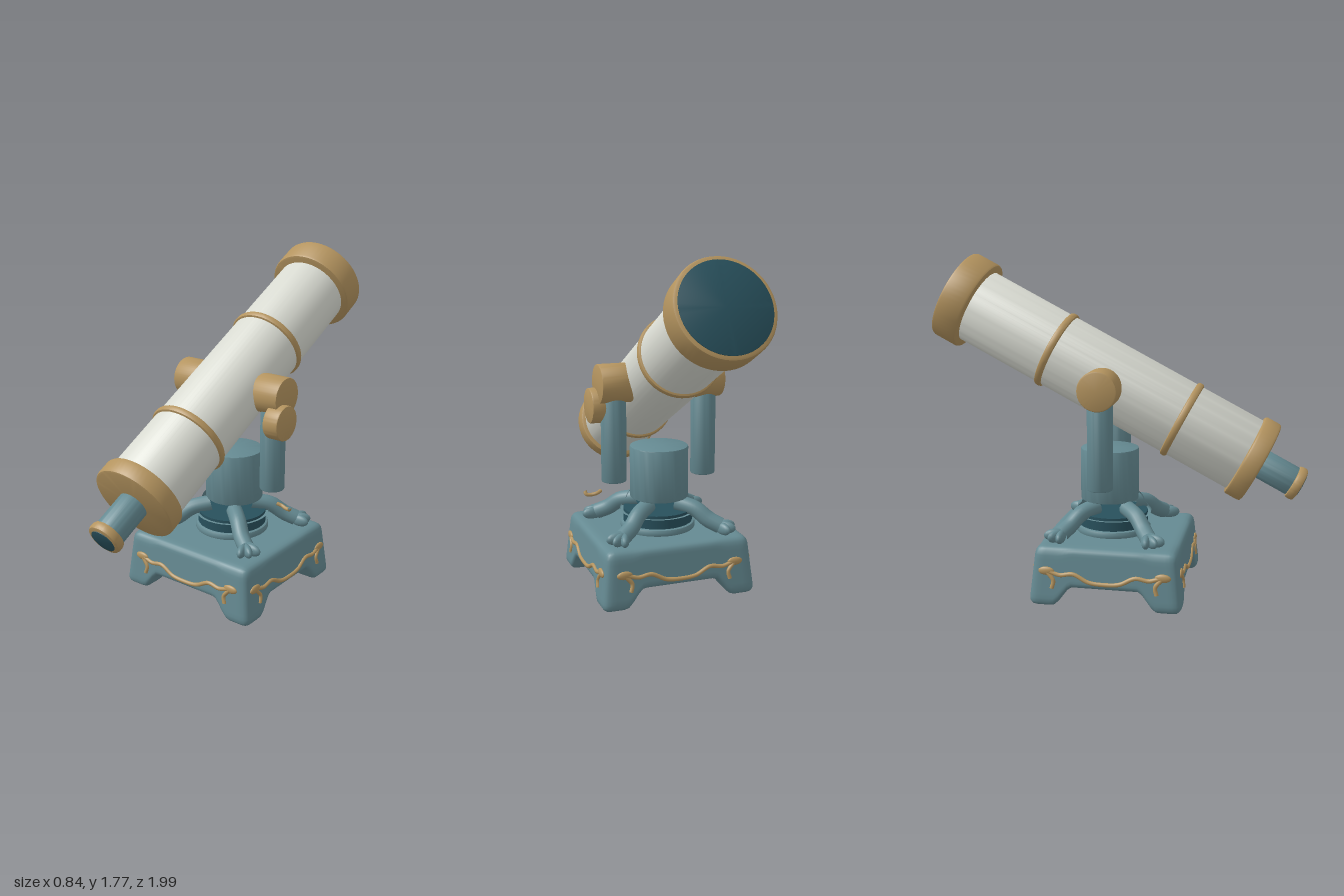
import * as THREE from 'three';
import { mergeVertices, toCreasedNormals } from 'three/addons/utils/BufferGeometryUtils.js';

const material = (name, color) => {
  const m = new THREE.MeshStandardMaterial({ color });
  m.name = name;
  return m;
};

export function createModel() {
  const teal = material('teal', 0x658a92);
  const dark = material('dark teal', 0x28505c);
  const brass = material('brass', 0xb4945f);
  const ivory = material('ivory', 0xd9dbd2);
  const model = new THREE.Group();
  model.name = 'telescope';

  const add = (parent, name, geometry, mat, x = 0, y = 0, z = 0) => {
    const mesh = new THREE.Mesh(geometry, mat);
    mesh.name = name;
    mesh.position.set(x, y, z);
    parent.add(mesh);
    return mesh;
  };
  // Capped round solid along y from a to b, with bevelled rims
  const solid = (r, a, b, bevel = 0.008, sides = 56) => toCreasedNormals(new THREE.LatheGeometry([
    [0, a], [r - bevel, a], [r - bevel * 0.3, a + bevel * 0.3], [r, a + bevel],
    [r, b - bevel], [r - bevel * 0.3, b - bevel * 0.3], [r - bevel, b], [0, b],
  ].map(p => new THREE.Vector2(...p)), sides), 0.6);
  const curve = pts => new THREE.CatmullRomCurve3(pts.map(p => new THREE.Vector3(...p)));

  // Tilted optical tube: local y runs from the eyepiece to the lens
  const tube = new THREE.Group();
  tube.name = 'opticalTube';
  tube.position.set(0, 0.597, 0.955);
  tube.rotation.x = -1.089;
  model.add(tube);
  add(tube, 'barrel', solid(0.2, 0.3, 2.0), ivory);
  add(tube, 'eyepieceTube', solid(0.078, 0.02, 0.26), teal);
  add(tube, 'eyepieceRim', solid(0.09, 0, 0.05, 0.015), brass);
  add(tube, 'eyepieceGlass', solid(0.066, -0.003, 0.01, 0.001), dark);
  add(tube, 'rearCollar', solid(0.225, 0.235, 0.33, 0.014), brass);
  add(tube, 'frontCollar', solid(0.243, 1.935, 2.08, 0.014), brass);
  add(tube, 'lens', solid(0.221, 2.07, 2.083, 0.001), dark);
  for (const s of [0.7, 1.456]) add(tube, 'barrelBand', solid(0.213, s - 0.019, s + 0.019, 0.012), brass);

  // Side pivots, posts and the focus knob
  for (const side of [-1, 1]) {
    const pivot = add(model, 'pivot', solid(0.102, -0.09, 0.09), brass, side * 0.245, 1.105, -0.05);
    pivot.rotation.z = Math.PI / 2;
    add(model, 'sidePost', solid(0.066, 0.585, 1.09, 0.008, 40), teal, side * 0.25, 0, -0.05);
  }
  const knob = add(model, 'knob', solid(0.092, -0.045, 0.045), brass, 0.325, 0.985, 0);
  knob.rotation.z = Math.PI / 2;

  // Pedestal and its flared body
  add(model, 'pedestal', solid(0.155, 0.48, 0.76), teal, 0, 0, -0.05);
  add(model, 'pedestalBody', new THREE.LatheGeometry([
    [0, 0.505], [0.15, 0.5], [0.165, 0.48], [0.175, 0.45], [0.205, 0.415], [0.2, 0.4], [0, 0.4],
  ].map(p => new THREE.Vector2(...p)), 32), teal, 0, 0, -0.03);
  add(model, 'darkRecess', new THREE.CylinderGeometry(0.185, 0.185, 0.08, 32), dark, 0, 0.375, -0.03);
  add(model, 'pedestalFoot', solid(0.2, 0.3, 0.345, 0.015), teal, 0, 0, -0.03);

  // Four claw legs reaching towards the corners
  for (const sx of [-1, 1]) for (const sz of [-1, 1]) {
    const leg = new THREE.Group();
    leg.name = 'clawLeg';
    leg.position.z = -0.025;
    model.add(leg);
    const path = curve([[0.08 * sx, 0.45, 0.08 * sz], [0.16 * sx, 0.425, 0.15 * sz],
      [0.215 * sx, 0.375, 0.195 * sz], [0.27 * sx, 0.345, 0.23 * sz]]);
    add(leg, 'limb', new THREE.TubeGeometry(path, 16, 0.043, 14), teal);
    for (const spread of [-0.6, 0, 0.6]) {
      const angle = Math.atan2(0.2 * sz, 0.26 * sx) + spread;
      const toe = add(leg, 'toe', new THREE.SphereGeometry(1, 16, 12), teal,
        0.255 * sx + 0.045 * Math.cos(angle), 0.338, 0.22 * sz + 0.045 * Math.sin(angle));
      toe.scale.set(0.056, 0.033, 0.023);
      toe.rotation.y = -angle;
    }
  }

  // Base: rounded box, flared downwards, arched between its four corner feet
  const H = 0.31, half = new THREE.Vector3(0.385, H / 2, 0.365), round = 0.04;
  const flare = y => 1 + 0.09 * (1 - y / H);
  const box = new THREE.BoxGeometry(half.x * 2, H, half.z * 2, 36, 14, 36);
  box.deleteAttribute('uv');
  box.deleteAttribute('normal');
  const base = mergeVertices(box);
  const pos = base.attributes.position, v = new THREE.Vector3(), core = new THREE.Vector3();
  const inner = half.clone().subScalar(round);
  for (let i = 0; i < pos.count; i++) {
    v.fromBufferAttribute(pos, i);
    core.copy(v).clamp(inner.clone().negate(), inner);
    v.sub(core);
    if (v.length() > round) v.setLength(round);
    v.add(core);
    const foot = THREE.MathUtils.smoothstep(Math.abs(v.x), 0.18, 0.27)
      * THREE.MathUtils.smoothstep(Math.abs(v.z), 0.16, 0.25);
    const t = v.y / H + 0.5;
    const y = t * H + 0.1 * (1 - foot) * (1 - t);
    pos.setXYZ(i, v.x * flare(y), y, v.z * flare(y));
  }
  base.computeVertexNormals();
  add(model, 'base', base, teal);

  // Raised scrollwork on the four sides of the base
  const scroll = [[-0.27, 0.1], [-0.262, 0.14], [-0.295, 0.185], [-0.23, 0.17], [-0.16, 0.178], [-0.08, 0.142]];
  const outline = [...scroll, [0, 0.135], ...scroll.map(([x, y]) => [-x, y]).reverse()];
  for (let k = 0; k < 4; k++) {
    const depth = k % 2 ? half.x : half.z;
    const panel = new THREE.Group();
    panel.name = 'scrollwork';
    panel.rotation.y = k * Math.PI / 2;
    model.add(panel);
    const path = curve(outline.map(([x, y]) => [x, y, depth * flare(y)]));
    add(panel, 'vine', new THREE.TubeGeometry(path, 80, 0.011, 8), brass);
    for (const s of [-1, 1]) {
      const leaf = add(panel, 'leaf', new THREE.SphereGeometry(1, 16, 10), brass, s * 0.3, 0.188, depth * flare(0.188));
      leaf.scale.set(0.042, 0.022, 0.012);
    }
  }

  // Small loose hook beside the pedestal
  const hook = curve([[0.31, 0.528, -0.01], [0.335, 0.519, -0.02], [0.365, 0.512, -0.015],
    [0.39, 0.515, -0.01], [0.395, 0.53, 0]]);
  add(model, 'looseHook', new THREE.TubeGeometry(hook, 24, 0.01, 8), brass);
  return model;
}
